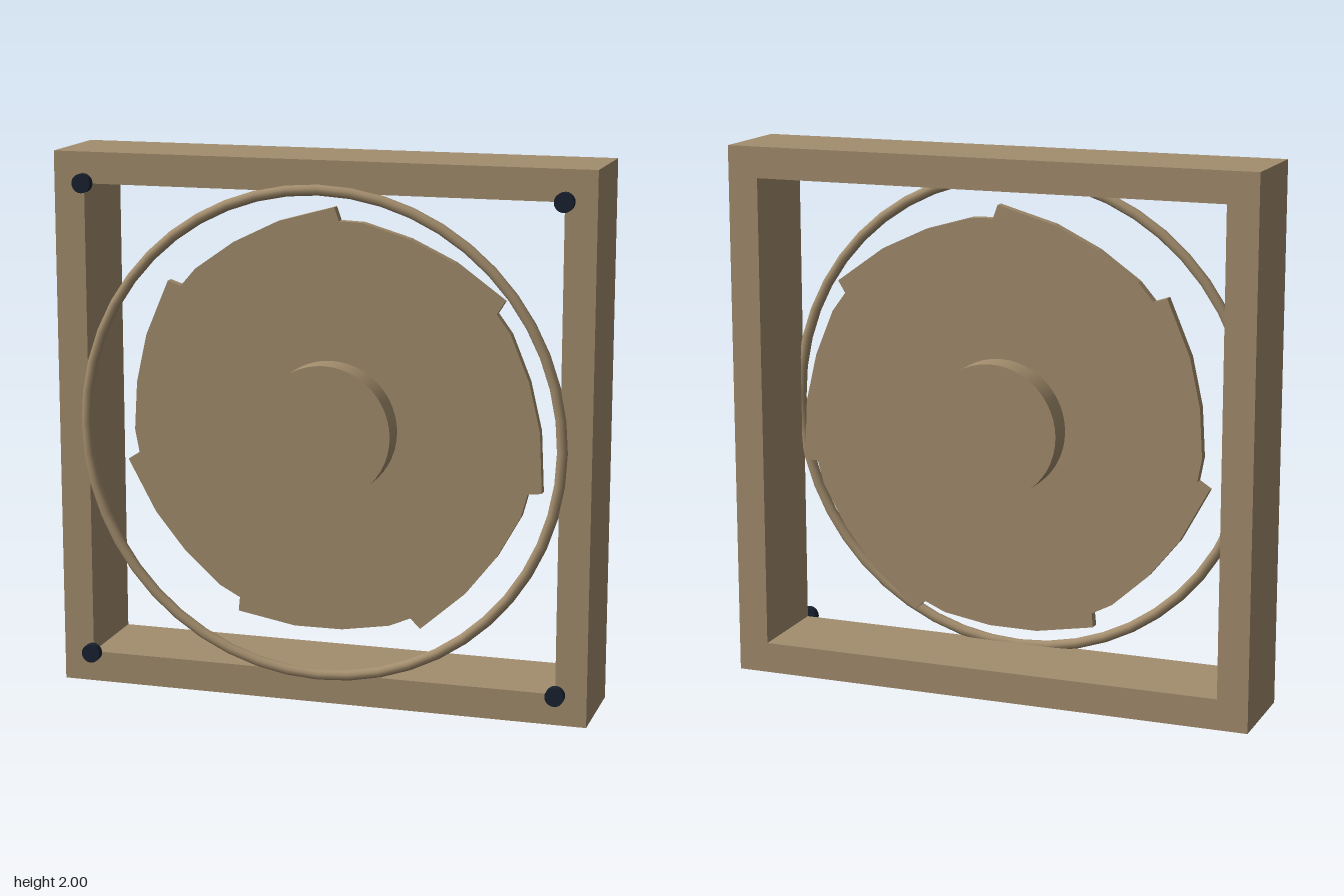
import * as THREE from 'three';

const tan = new THREE.MeshStandardMaterial({ color: 0xa38d6d });
const dark = new THREE.MeshStandardMaterial({ color: 0x1a2230 });

const HALF = 1, INNER = 0.885;            // square housing, outer and inner half widths
const DEPTH = 0.358, MID_Z = -0.015;      // housing depth and its mid plane
const FRONT_Z = MID_Z + DEPTH / 2;

function add(parent, name, geometry, material, x = 0, y = 0, z = 0) {
  const mesh = new THREE.Mesh(geometry, material);
  mesh.name = name;
  mesh.position.set(x, y, z);
  parent.add(mesh);
  return mesh;
}

function square(target, h) {
  target.moveTo(-h, -h);
  target.lineTo(h, -h);
  target.lineTo(h, h);
  target.lineTo(-h, h);
  target.closePath();
  return target;
}

// Extrusion centred on z = 0
function slab(shape, depth) {
  return new THREE.ExtrudeGeometry(shape, { depth, bevelEnabled: false }).translate(0, 0, -depth / 2);
}

// Seven overlapping blades seen as one stepped disc
function bladeShape() {
  const blades = 7;
  // [degrees clockwise from the tip, radius]
  const step = [[0, 0.812], [1.4, 0.763], [8, 0.768], [21.7, 0.766], [35.4, 0.779]];
  const points = [];
  for (let i = 0; i < blades; i++) {
    for (const [deg, r] of step) {
      const a = THREE.MathUtils.degToRad(89.2 - (i * 360) / blades - deg);
      points.push(new THREE.Vector2(r * Math.cos(a), r * Math.sin(a)));
    }
  }
  return new THREE.Shape(points);
}

export function createModel() {
  const fan = new THREE.Group();
  fan.name = 'boxFan';

  // Open square housing
  const housing = square(new THREE.Shape(), HALF);
  housing.holes.push(square(new THREE.Path(), INNER));
  add(fan, 'housing', slab(housing, DEPTH), tan, 0, 1, MID_Z);

  // Rotor: blades and hub
  const rotor = new THREE.Group();
  rotor.name = 'rotor';
  rotor.position.set(0, 1, MID_Z);
  fan.add(rotor);
  add(rotor, 'blades', slab(bladeShape(), 0.036), tan);
  add(rotor, 'hub', new THREE.CylinderGeometry(0.25, 0.25, 0.24, 48).rotateX(Math.PI / 2), tan);

  // Guard ring on the front face
  add(fan, 'guardRing', new THREE.TorusGeometry(0.894, 0.02, 10, 48), tan, 0, 1, FRONT_Z - 0.002);

  // Corner screws
  const screw = new THREE.CylinderGeometry(0.035, 0.035, 0.03, 20).rotateX(Math.PI / 2);
  for (const sx of [-1, 1]) {
    for (const sy of [-1, 1]) {
      add(fan, 'cornerScrew', screw, dark, sx * 0.887, 1 + sy * 0.887, FRONT_Z + 0.015);
    }
  }
  return fan;
}
